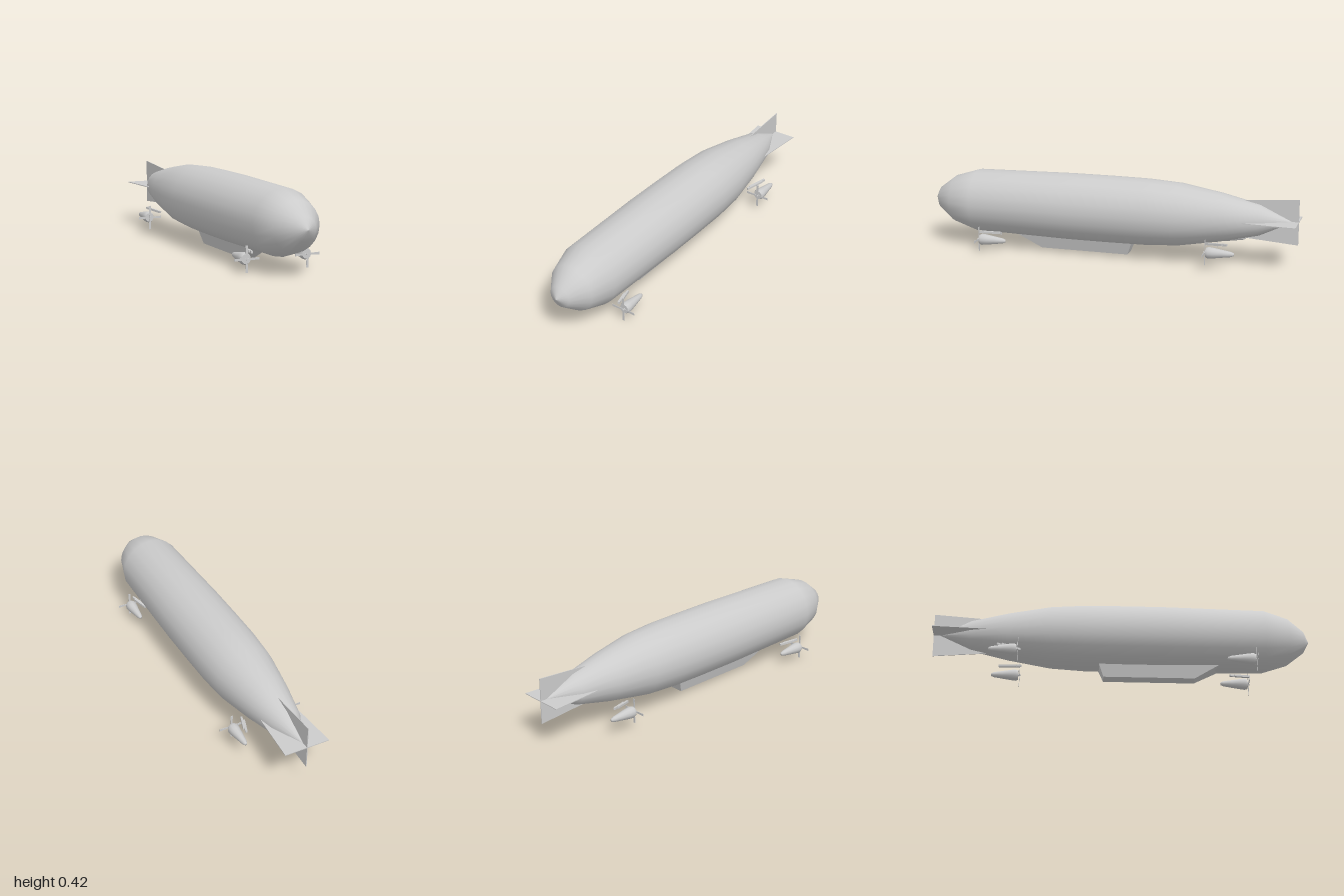
import * as THREE from 'three';

const AXIS_Y = 0.245;
const grey = new THREE.MeshStandardMaterial({ color: 0xcccccc });
const flat = new THREE.MeshStandardMaterial({ color: 0xcccccc, flatShading: true });
const thin = new THREE.MeshStandardMaterial({ color: 0xcccccc, flatShading: true, side: THREE.DoubleSide });

function add(parent, name, geometry, material) {
  const mesh = new THREE.Mesh(geometry, material);
  mesh.name = name;
  parent.add(mesh);
  return mesh;
}

// Body of revolution along z; profile is [z, radius] from tail to nose
function lathe(profile, sides) {
  const points = profile.map(([z, r]) => new THREE.Vector2(r, z));
  return new THREE.LatheGeometry(points, sides).rotateX(Math.PI / 2);
}

// Flat plate from an outline in the xy plane, centred on z = 0
function plate(outline, depth) {
  const shape = new THREE.Shape(outline.map(([x, y]) => new THREE.Vector2(x, y)));
  return new THREE.ExtrudeGeometry(shape, { depth, bevelEnabled: false }).translate(0, 0, -depth / 2);
}

// Square bar between two points
function bar(parent, name, a, b, width) {
  const length = a.distanceTo(b);
  const mesh = add(parent, name, new THREE.BoxGeometry(width, width, length), flat);
  mesh.position.copy(a).lerp(b, 0.5);
  mesh.lookAt(b);
}

// Engine pod with a four-bladed propeller and a pair of struts to the hull
function engine(name, x, y, z, hullX, hullY) {
  const group = new THREE.Group();
  group.name = name;
  group.position.set(x, y, z);
  const pod = [[-0.153, 0], [-0.15, 0.008], [-0.135, 0.014], [-0.09, 0.021],
    [-0.045, 0.028], [-0.02, 0.031], [-0.006, 0.025]];
  add(group, 'enginePod', lathe(pod, 12), grey);
  add(group, 'podFront', new THREE.CircleGeometry(0.025, 12).translate(0, 0, -0.006), flat);
  add(group, 'propellerHub', new THREE.CylinderGeometry(0.006, 0.006, 0.012, 8).rotateX(Math.PI / 2), flat);
  for (let i = 0; i < 4; i++) {
    const blade = add(group, 'propellerBlade',
      plate([[-0.004, 0], [0.004, 0], [0.0065, 0.067], [-0.0065, 0.067]], 0.002), flat);
    blade.rotation.z = i * Math.PI / 2;
  }
  for (const dz of [-0.025, 0.025]) {
    bar(group, 'strut', new THREE.Vector3(0, 0.01, -0.05),
      new THREE.Vector3(hullX - x, hullY - y, -0.05 + dz), 0.011);
  }
  return group;
}

// Keel cabin: wide top outline tapering to a narrow floor
function cabinGeometry() {
  const rings = [[0.034, 0.01, 0.38, -0.10], [0.055, 0.085, 0.515, -0.128]];
  const position = [];
  for (const [w, y, front, back] of rings) {
    position.push(-w, y, front, w, y, front, w, y, back, -w, y, back);
  }
  const index = [0, 3, 2, 0, 2, 1, 4, 5, 6, 4, 6, 7];
  for (let i = 0; i < 4; i++) {
    const j = (i + 1) % 4;
    index.push(i, j, j + 4, i, j + 4, i + 4);
  }
  const geometry = new THREE.BufferGeometry();
  geometry.setAttribute('position', new THREE.Float32BufferAttribute(position, 3));
  geometry.setIndex(index);
  const faceted = geometry.toNonIndexed();
  faceted.computeVertexNormals();
  return faceted;
}

export function createModel() {
  const model = new THREE.Group();
  model.name = 'airship';

  // Hull
  const profile = [[-0.97, 0], [-0.8, 0.081], [-0.6, 0.127], [-0.38, 0.165], [-0.2, 0.176],
    [0, 0.178], [0.22, 0.178], [0.75, 0.168], [0.88, 0.127], [0.97, 0.058], [1, 0]];
  add(model, 'hull', lathe(profile, 20), grey).position.y = AXIS_Y;

  // Four tail fins
  for (let i = 0; i < 4; i++) {
    const fin = new THREE.Group();
    fin.name = 'tailFin';
    fin.position.y = AXIS_Y;
    fin.rotation.z = i * Math.PI / 2;
    const blade = plate([[0.72, 0], [1, 0], [1, 0.121], [0.72, 0.1]], 0.004);
    add(fin, 'finPlate', blade.rotateY(Math.PI / 2), thin);
    model.add(fin);
  }

  // Cabin
  add(model, 'cabin', cabinGeometry(), flat);

  // Engines, front and rear on both sides
  for (const side of [1, -1]) {
    const label = side > 0 ? 'left' : 'right';
    model.add(engine(label + 'FrontEngine', side * 0.166, 0.069, 0.692, side * 0.09, 0.12));
    model.add(engine(label + 'RearEngine', side * 0.166, 0.097, -0.547, side * 0.08, 0.155));
  }
  return model;
}
